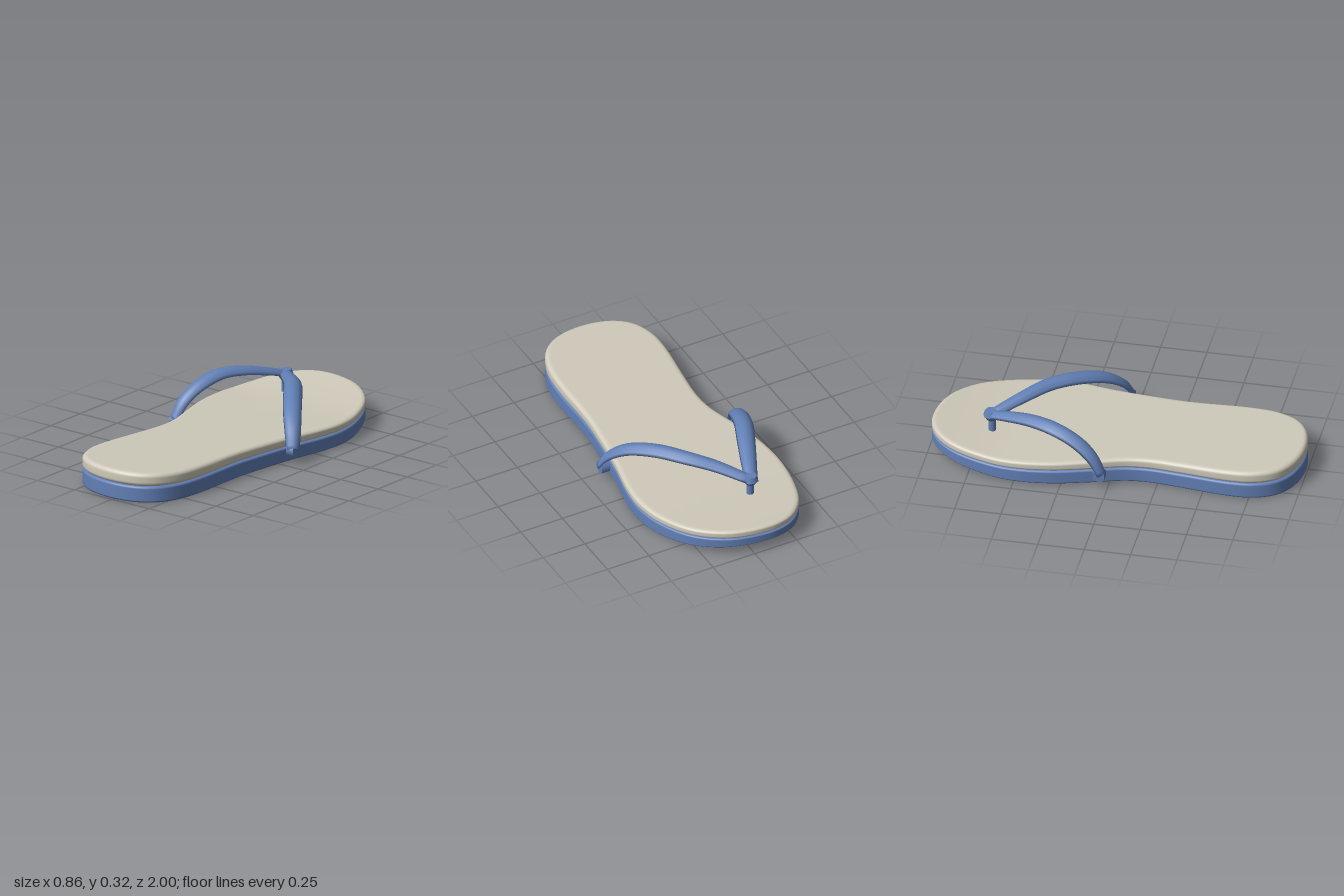
import * as THREE from 'three';

const strapBlue = new THREE.MeshStandardMaterial({ color: 0x6280b6 });
strapBlue.name = 'blue rubber';
const cream = new THREE.MeshStandardMaterial({ color: 0xcfcaba });
cream.name = 'cream foam';

// Sole outline as [x, z], from the toe along +x to the heel and back
const OUTLINE = [
  [-0.1, -1], [0.11, -0.955], [0.27, -0.825], [0.365, -0.64], [0.405, -0.45], [0.395, -0.3],
  [0.36, -0.12], [0.332, 0.08], [0.31, 0.3], [0.308, 0.64], [0.285, 0.79], [0.225, 0.905],
  [0.13, 0.97], [-0.02, 0.995], [-0.18, 0.965], [-0.285, 0.89], [-0.338, 0.77], [-0.345, 0.63],
  [-0.32, 0.4], [-0.302, 0.21], [-0.312, 0.08], [-0.365, -0.1], [-0.415, -0.29],
  [-0.432, -0.475], [-0.41, -0.66], [-0.34, -0.86], [-0.235, -0.967],
];

// Skin a list of closed rings of equal length
function loft(rings) {
  const n = rings[0].length;
  const index = [];
  for (let r = 0; r < rings.length - 1; r++) {
    for (let i = 0; i < n; i++) {
      const j = (i + 1) % n;
      const a = r * n + i, b = (r + 1) * n + i, c = (r + 1) * n + j, d = r * n + j;
      index.push(a, b, c, a, c, d);
    }
  }
  const geometry = new THREE.BufferGeometry().setFromPoints(rings.flat());
  geometry.setIndex(index);
  geometry.computeVertexNormals();
  return geometry;
}

function addMesh(group, name, geometry, material, x = 0, y = 0, z = 0) {
  const mesh = new THREE.Mesh(geometry, material);
  mesh.name = name;
  mesh.position.set(x, y, z);
  group.add(mesh);
  return mesh;
}

// Height along the sole: straight from heel to ball, then curling up to the toe
function heightLine(heel, ball, toeRise) {
  return (z) => {
    const curl = Math.max(0, (-0.55 - z) / 0.45);
    return THREE.MathUtils.lerp(ball, heel, (z + 0.6) / 1.6) + toeRise * Math.pow(curl, 1.4);
  };
}

// A rounded slab that follows the outline between two height lines
function soleLayer(bottom, top, radius, edge) {
  const curve = new THREE.CatmullRomCurve3(
    OUTLINE.map(([x, z]) => new THREE.Vector3(x, 0, z)), true);
  const count = 108;
  const ring = (inset, scale, t) => Array.from({ length: count }, (_, i) => {
    const p = curve.getPoint(i / count);
    const d = curve.getTangent(i / count);
    const x = (p.x - d.z * inset) * scale;
    const z = (p.z + d.x * inset) * scale;
    return new THREE.Vector3(x, THREE.MathUtils.lerp(bottom(z), top(z), t), z);
  });
  const scales = [0, 0.15, 0.3, 0.45, 0.6, 0.7, 0.8, 0.88, 0.95, 0.985];
  const rings = scales.map((s) => ring(radius, s, 0));
  const steps = 5;
  for (let k = 0; k <= steps; k++) {
    const a = (k / steps) * Math.PI / 2;
    rings.push(ring(radius * (1 - Math.sin(a)), 1, edge * (1 - Math.cos(a))));
  }
  for (let k = steps; k >= 0; k--) {
    const a = (k / steps) * Math.PI / 2;
    rings.push(ring(radius * (1 - Math.sin(a)), 1, 1 - edge * (1 - Math.cos(a))));
  }
  scales.slice().reverse().forEach((s) => rings.push(ring(radius, s, 1)));
  return loft(rings);
}

// A strap with an arched section, tapering toward both ends
function strap(points) {
  const curve = new THREE.CatmullRomCurve3(points.map((p) => new THREE.Vector3(...p)));
  const section = [[1, -0.45], [0.9, 0.15], [0.5, 0.8], [0, 1], [-0.5, 0.8], [-0.9, 0.15],
    [-1, -0.45], [-0.5, -0.4], [0, -0.3], [0.5, -0.4]];
  const up = new THREE.Vector3(0, 1, 0);
  const steps = 28;
  const rings = [];
  for (let k = 0; k <= steps; k++) {
    const t = k / steps;
    const center = curve.getPoint(t);
    const tangent = curve.getTangent(t);
    const side = new THREE.Vector3().crossVectors(tangent, up).normalize();
    const normal = new THREE.Vector3().crossVectors(side, tangent);
    const swell = Math.sin(Math.PI * t);
    const halfWidth = 0.035 + 0.016 * swell;
    const thick = 0.02 + 0.008 * swell;
    const ring = section.map(([w, n]) => center.clone()
      .addScaledVector(side, w * halfWidth).addScaledVector(normal, n * thick));
    const cap = section.map(() => center.clone());
    if (k === 0) rings.push(cap);
    rings.push(ring);
    if (k === steps) rings.push(cap);
  }
  return loft(rings);
}

export function createModel() {
  const model = new THREE.Group();
  model.name = 'sandal';

  // Sole
  addMesh(model, 'outsole', soleLayer(
    heightLine(0, 0, 0.058), heightLine(0.091, 0.077, 0.036), 0.014, 0.15), strapBlue);
  addMesh(model, 'footbed', soleLayer(
    heightLine(0.09, 0.076, 0.036), heightLine(0.164, 0.122, 0.046), 0.025, 0.32), cream);

  // Straps
  addMesh(model, 'rightStrap', strap([
    [-0.155, 0.225, -0.67], [-0.2, 0.255, -0.56], [-0.255, 0.282, -0.43], [-0.31, 0.284, -0.3],
    [-0.35, 0.24, -0.17], [-0.38, 0.17, -0.08], [-0.395, 0.085, -0.03]]), strapBlue);
  addMesh(model, 'leftStrap', strap([
    [-0.14, 0.225, -0.67], [-0.02, 0.265, -0.54], [0.1, 0.286, -0.42], [0.2, 0.28, -0.29],
    [0.3, 0.238, -0.16], [0.37, 0.165, -0.075], [0.405, 0.085, -0.03]]), strapBlue);

  // Toe post and its knob
  addMesh(model, 'toePost', new THREE.CylinderGeometry(0.02, 0.02, 0.12, 10),
    strapBlue, -0.15, 0.16, -0.67);
  addMesh(model, 'toeKnobTop', new THREE.CylinderGeometry(0.032, 0.042, 0.03, 8),
    strapBlue, -0.15, 0.233, -0.677);
  addMesh(model, 'toeKnobBase', new THREE.CylinderGeometry(0.042, 0.026, 0.025, 8),
    strapBlue, -0.15, 0.206, -0.674);

  // Hexagonal plugs holding the strap ends in the sole
  for (const [name, x] of [['leftAnchor', 0.395], ['rightAnchor', -0.39]]) {
    const plug = addMesh(model, name, new THREE.CylinderGeometry(0.036, 0.036, 0.046, 6),
      strapBlue, x, 0.078, -0.045);
    plug.rotation.set(Math.PI / 2, 0, Math.PI / 2);
  }
  return model;
}
